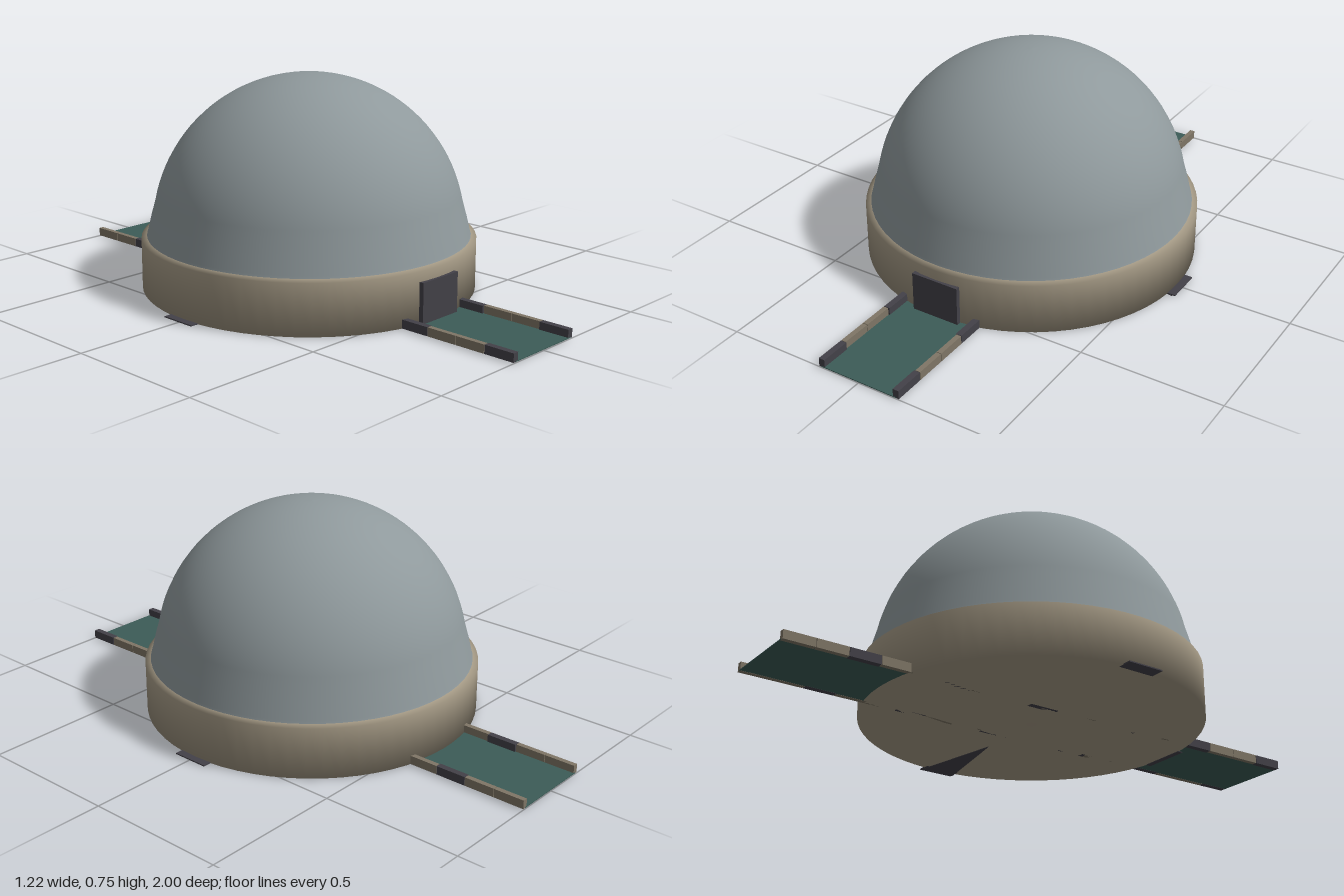
import * as THREE from 'three';

const paint = (name, color) => {
  const m = new THREE.MeshStandardMaterial({ color });
  m.name = name;
  return m;
};

export function createModel() {
  const model = new THREE.Group();
  model.name = 'domedHall';

  const domeGrey = paint('domeGrey', 0x8f999c);
  const stone = paint('stone', 0xa89d88);
  const kerbStone = paint('kerbStone', 0x7f7666);
  const charcoal = paint('charcoal', 0x434148);
  const teal = paint('teal', 0x3c5c57);

  const add = (name, geometry, material, x = 0, y = 0, z = 0) => {
    const mesh = new THREE.Mesh(geometry, material);
    mesh.name = name;
    mesh.position.set(x, y, z);
    model.add(mesh);
    return mesh;
  };
  const box = (name, material, w, h, d, x, y, z) =>
    add(name, new THREE.BoxGeometry(w, h, d), material, x, y, z);
  const lathe = (points) =>
    new THREE.LatheGeometry(points.map(([r, y]) => new THREE.Vector2(r, y)), 64);

  // Round base: softly shaded drum with a narrow sloping lip
  add('base', lathe([[0, 0.002], [0.585, 0.002], [0.585, 0.18], [0.56, 0.19]]), stone);

  // Dome: a flared skirt running into a hemisphere
  const profile = [[0.567, 0.184], [0.563, 0.196], [0.55, 0.25]];
  const start = 0.19;
  for (let i = 0; i <= 24; i++) {
    const a = start + (Math.PI / 2 - start) * (i / 24);
    profile.push([Math.max(0, 0.545 * Math.cos(a)), 0.2 + 0.545 * Math.sin(a)]);
  }
  add('dome', lathe(profile), domeGrey);

  // Walkway passing through the hall from front to back
  box('walkway', teal, 0.29, 0.003, 2, 0, 0.004, 0);

  // Kerb blocks along both edges, every third one dark
  const step = 2 / 18;
  for (let i = 0; i < 18; i++) {
    const dark = i % 3 === 0;
    const width = dark ? 0.022 : 0.018;
    for (const side of [-1, 1]) {
      box('kerb', dark ? charcoal : kerbStone, width, 0.03, step - 0.002,
        side * (0.155 - width / 2), 0.017, 1 - step * (i + 0.5));
    }
  }

  // Front door slab
  box('door', charcoal, 0.176, 0.145, 0.02, 0, 0.0725, 0.584);

  // Thin threshold plates on the left and right
  for (const side of [-1, 1]) {
    box('sidePlate', charcoal, 0.05, 0.004, 0.13, side * 0.585, 0.003, -0.003);
  }

  // Tapered plate under the left threshold
  const taper = new THREE.Shape([
    new THREE.Vector2(0.26, 0), new THREE.Vector2(0.6, -0.065), new THREE.Vector2(0.6, 0.065),
  ]);
  const under = add('underPlate',
    new THREE.ExtrudeGeometry(taper, { depth: 0.002, bevelEnabled: false }), charcoal, 0, 0.002, 0);
  under.rotation.x = Math.PI / 2;

  return model;
}
